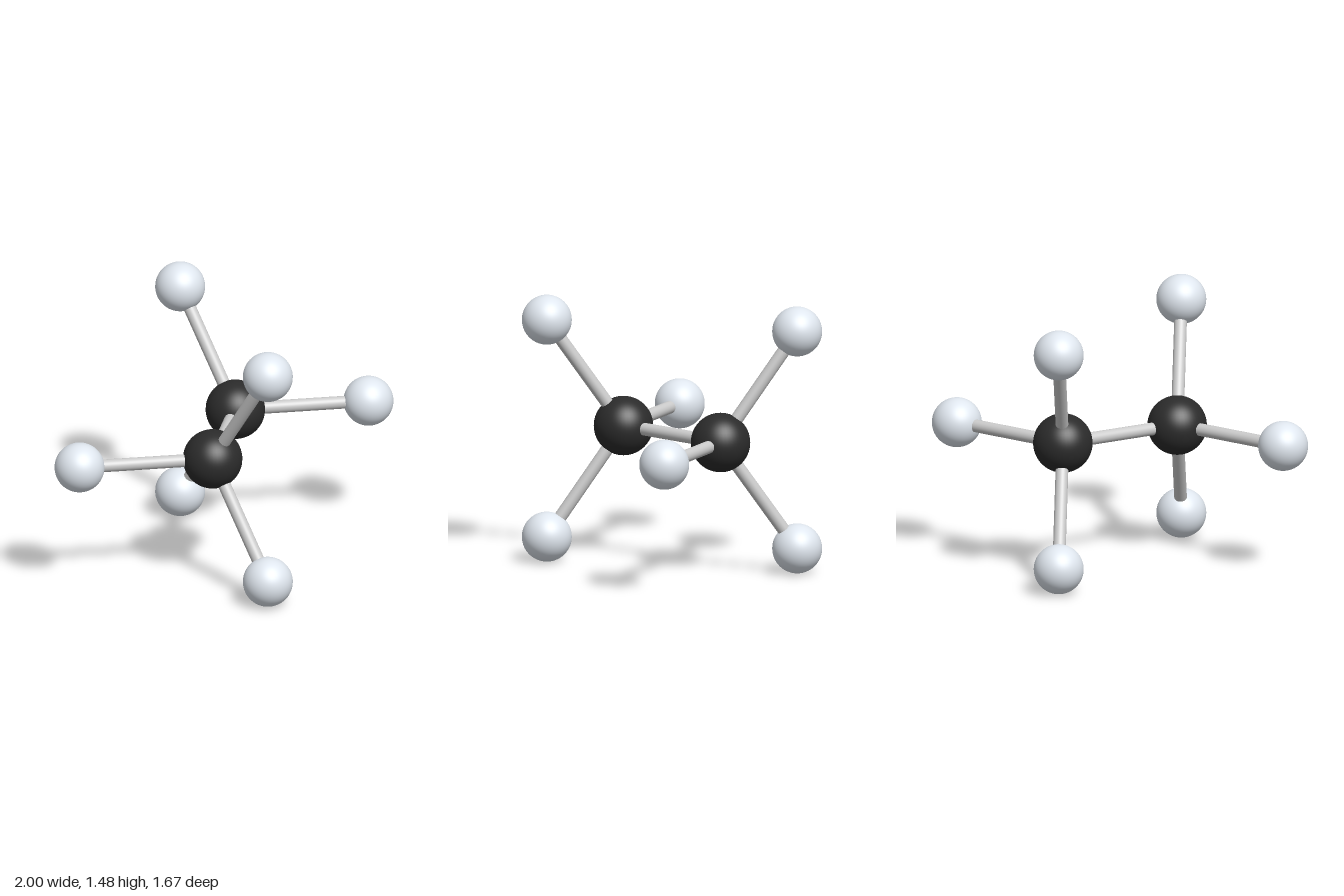
import * as THREE from 'three';

const BOND = 0.74;        // centre-to-centre distance of every pair
const LARGE_R = 0.163;
const SMALL_R = 0.137;
const ROD_R = 0.035;

export function createModel() {
  const model = new THREE.Group();
  const dark = new THREE.MeshStandardMaterial({ color: 0x2b2b2b, roughness: 0.6 });
  const pale = new THREE.MeshStandardMaterial({ color: 0xdfe6ee, roughness: 0.6 });
  const grey = new THREE.MeshStandardMaterial({ color: 0xcccccc, roughness: 0.6 });

  const largeBall = new THREE.SphereGeometry(LARGE_R, 48, 32);
  const smallBall = new THREE.SphereGeometry(SMALL_R, 48, 32);
  const rod = new THREE.CylinderGeometry(ROD_R, ROD_R, BOND, 32);

  function addBall(name, geometry, material, position) {
    const ball = new THREE.Mesh(geometry, material);
    ball.name = name;
    ball.position.copy(position);
    model.add(ball);
  }

  // rod running from centre to centre
  function addRod(name, a, b) {
    const mesh = new THREE.Mesh(rod, grey);
    mesh.name = name;
    mesh.position.copy(a).lerp(b, 0.5);
    mesh.quaternion.setFromUnitVectors(new THREE.Vector3(0, 1, 0), b.clone().sub(a).normalize());
    model.add(mesh);
  }

  // tetrahedral offsets: one along x, the other three a third of the way back
  const back = BOND / 3;
  const ring = BOND * Math.sqrt(8) / 3;
  const rise = ring * Math.sqrt(3) / 2;
  const midY = SMALL_R + rise;

  const centres = [];
  for (const [side, s] of [['front', 1], ['back', -1]]) {
    const centre = new THREE.Vector3(-s * back / 2, midY, s * ring / 2);
    centres.push(centre);
    addBall(side + 'CarbonAtom', largeBall, dark, centre);

    // three outer atoms, turned half a circle about y for the back half
    const outer = {
      Side: [-s * BOND, 0, 0],
      Upper: [s * back, rise, s * ring / 2],
      Lower: [s * back, -rise, s * ring / 2],
    };
    for (const [place, offset] of Object.entries(outer)) {
      const end = centre.clone().add(new THREE.Vector3(...offset));
      addBall(side + place + 'HydrogenAtom', smallBall, pale, end);
      addRod(side + place + 'Bond', centre, end);
    }
  }
  addRod('centralBond', centres[0], centres[1]);

  return model;
}
